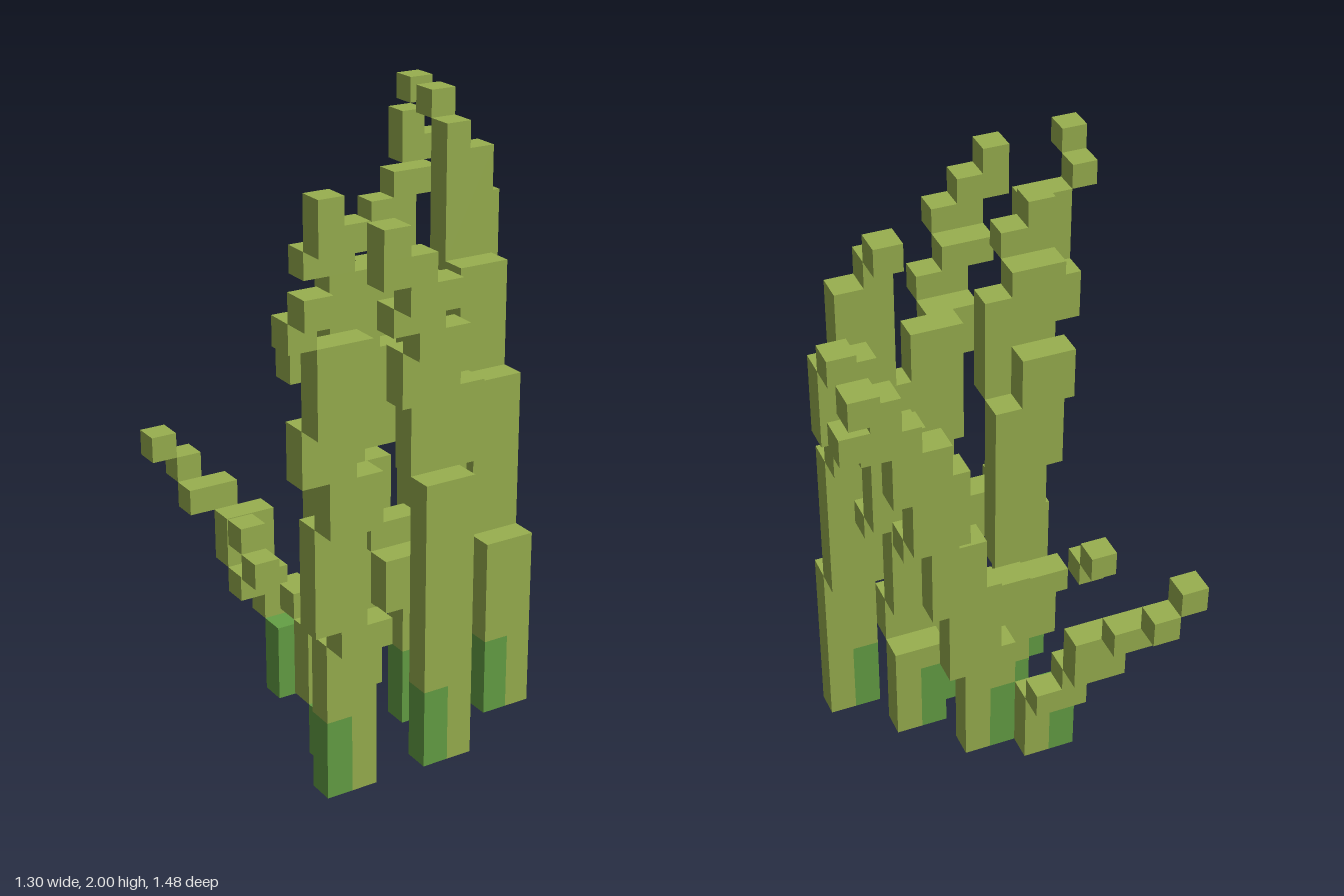
import * as THREE from 'three';

const U = 2 / 23; // one grid cell

export function createModel() {
  const model = new THREE.Group();
  model.name = 'grassTuft';
  const olive = new THREE.MeshStandardMaterial({ color: 0x99b04f });
  olive.name = 'olive leaf';
  const green = new THREE.MeshStandardMaterial({ color: 0x65a045 });
  green.name = 'green root';
  const rootSides = [green, green, green, olive, green, green];

  // block of w cells across x and one deep, from height y0 to y1
  function block(group, name, material, x, w, z, y0, y1) {
    const geo = new THREE.BoxGeometry(w * U, (y1 - y0) * U, U);
    const mesh = new THREE.Mesh(geo, material);
    mesh.position.set((x + w / 2 - 7.5) * U, (y0 + y1) / 2 * U, (z - 8) * U);
    mesh.name = name;
    group.add(mesh);
  }

  // stepped blade: each step is [x cell, width, z cell, bottom, top]
  function blade(name, ...steps) {
    const group = new THREE.Group();
    group.name = name;
    for (const [x, w, z, y0, y1] of steps) {
      if (y0 === 0) {
        // green root on the right-hand cell of the foot
        const h = Math.min(3, y1);
        block(group, 'root', rootSides, x, 1, z, 0, h);
        block(group, 'foot', olive, x + 1, w - 1, z, 0, y1);
        if (y1 > h) block(group, 'foot', olive, x, 1, z, h, y1);
      } else block(group, 'step', olive, x, w, z, y0, y1);
    }
    model.add(group);
  }

  blade('backLeftBlade',
    [7, 2, 6, 0, 5], [8, 2, 5, 5, 9], [9, 2, 4, 9, 12], [10, 2, 4, 12, 13],
    [10, 2, 3, 13, 16], [11, 2, 2, 16, 18], [12, 2, 2, 18, 19],
    [13, 2, 1, 19, 20], [13, 1, 1, 20, 21], [14, 1, 0, 21, 22]);

  blade('backRightLowBlade',
    [5, 2, 5, 0, 3], [5, 2, 4, 3, 4], [4, 2, 4, 4, 5], [4, 2, 3, 5, 7],
    [3, 2, 2, 7, 8], [3, 1, 1, 8, 9], [2, 1, 1, 9, 10]);

  blade('frontRightBlade',
    [3, 2, 12, 0, 6], [3, 2, 13, 6, 7], [2, 2, 13, 7, 11], [2, 2, 14, 11, 13],
    [1, 2, 14, 13, 15], [1, 2, 15, 15, 18], [0, 1, 15, 18, 19], [0, 1, 16, 19, 20]);

  blade('tallLeftBlade',
    [11, 2, 10, 0, 7], [11, 2, 9, 7, 13], [11, 2, 8, 13, 17],
    [11, 2, 7, 17, 21], [11, 1, 7, 21, 22], [11, 1, 6, 22, 23]);

  blade('innerLeftBlade',
    [8, 2, 9, 0, 4], [9, 2, 9, 4, 6], [9, 2, 8, 6, 11], [10, 2, 8, 10, 11],
    [10, 2, 7, 11, 15], [11, 2, 6, 15, 16], [12, 2, 6, 16, 19], [13, 1, 5, 19, 20]);

  blade('innerRightBlade',
    [6, 2, 7, 0, 7], [5, 2, 8, 7, 14], [4, 2, 8, 14, 16], [5, 2, 9, 14, 18],
    [4, 2, 9, 18, 19], [4, 2, 10, 19, 20], [4, 1, 10, 20, 21]);

  blade('curvedFrontBlade',
    [9, 2, 8, 0, 4], [8, 2, 9, 4, 8], [8, 2, 10, 8, 11], [7, 3, 11, 11, 14],
    [7, 2, 11, 14, 16], [6, 2, 12, 14, 16], [6, 2, 13, 16, 17], [5, 2, 13, 17, 18],
    [5, 2, 14, 18, 19], [4, 2, 14, 19, 20], [4, 1, 14, 20, 21]);

  blade('middleFrontBlade',
    [7, 2, 12, 0, 11], [6, 2, 11, 6, 8], [6, 2, 10, 8, 9]);

  blade('lowRightBlade',
    [4, 2, 10, 0, 2], [4, 2, 9, 2, 5], [4, 2, 8, 5, 6],
    [3, 1, 7, 6, 7], [3, 1, 6, 7, 8]);

  return model;
}
